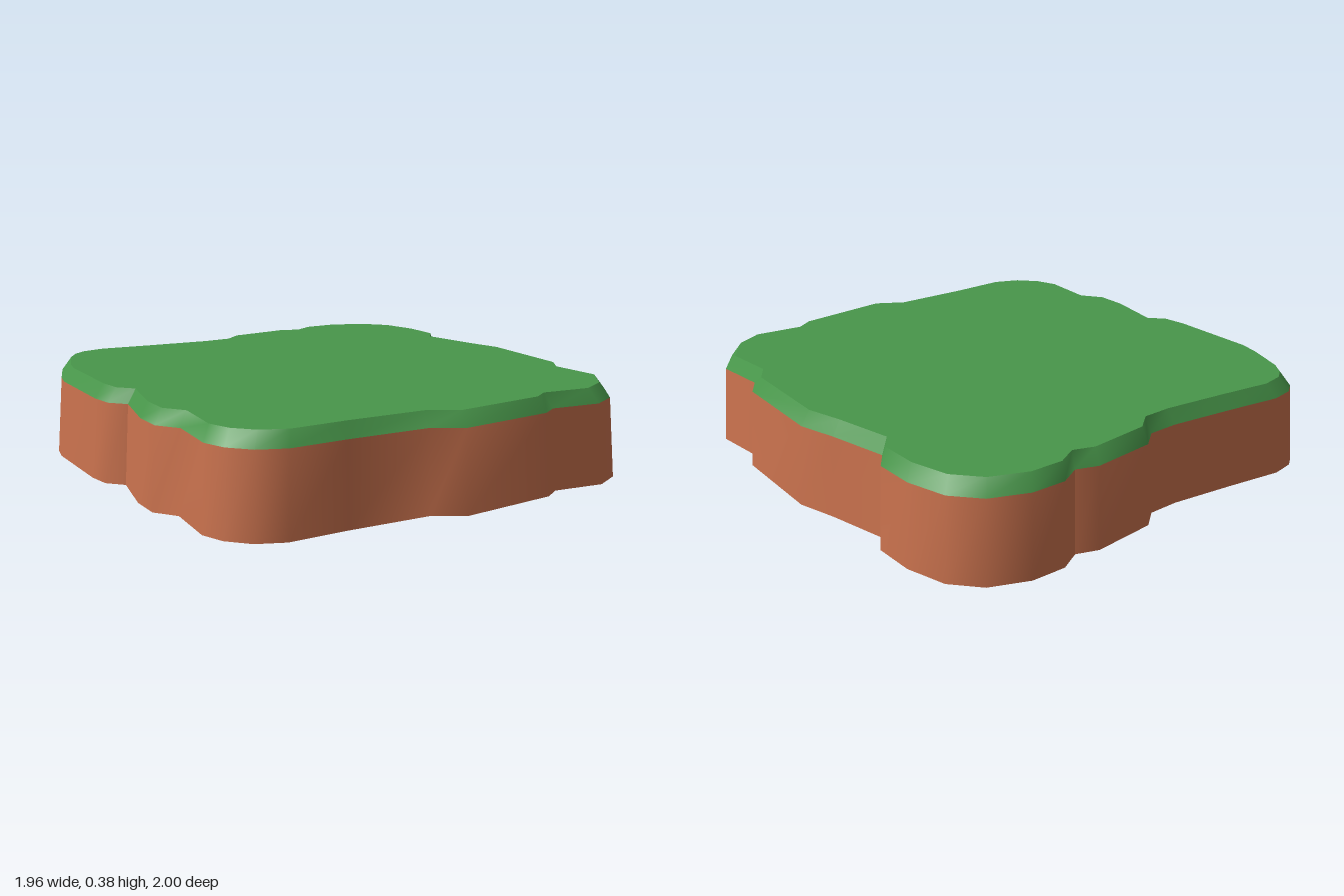
import * as THREE from 'three';
import { toCreasedNormals } from 'three/addons/utils/BufferGeometryUtils.js';

// Irregular ground outline as [x, z], clockwise seen from above
const OUTLINE = [
  // back edge
  [-0.69, -0.94], [-0.45, -0.91], [-0.17, -0.88], [-0.04, -0.885], [0.04, -0.95],
  [0.31, -0.98], [0.4, -0.95], [0.49, -1], [0.635, -1], [0.79, -0.94],
  // left side (+x)
  [0.885, -0.835], [0.93, -0.67], [0.93, -0.5], [0.875, -0.425], [0.93, -0.17],
  [0.975, -0.01], [0.955, 0.43], [0.9, 0.515], [0.92, 0.74], [0.82, 0.88],
  // front edge
  [0.705, 0.94], [0.49, 0.915], [0.42, 0.96], [0.01, 1], [-0.11, 0.93],
  [-0.45, 0.92], [-0.69, 0.925], [-0.8, 0.88], [-0.875, 0.8],
  // right side (-x)
  [-0.91, 0.705], [-0.89, 0.47], [-0.955, 0.38], [-0.955, 0.245], [-0.905, 0],
  [-0.965, -0.065], [-0.98, -0.165], [-0.975, -0.55], [-0.955, -0.64],
  [-0.89, -0.815], [-0.845, -0.88], [-0.79, -0.92],
];

// Heights and outline scales of the three rings
const BASE = { y: 0, s: 1 };
const SHOULDER = { y: 0.322, s: 0.977 };
const TOP = { y: 0.38, s: 0.94 };

// Open band joining two scaled copies of the outline
function band(lower, upper) {
  const positions = [];
  const index = [];
  const n = OUTLINE.length;
  OUTLINE.forEach(([x, z], i) => {
    for (const r of [lower, upper]) positions.push(x * r.s, r.y, z * r.s);
    const a = 2 * i;
    const b = 2 * ((i + 1) % n);
    index.push(a, a + 1, b, b, a + 1, b + 1);
  });
  const geometry = new THREE.BufferGeometry();
  geometry.setAttribute('position', new THREE.Float32BufferAttribute(positions, 3));
  geometry.setIndex(index);
  return toCreasedNormals(geometry, 0.8);
}

// Flat cap on a ring
function cap(ring) {
  const shape = new THREE.Shape(OUTLINE.map(([x, z]) => new THREE.Vector2(x * ring.s, -z * ring.s)));
  return new THREE.ShapeGeometry(shape).rotateX(-Math.PI / 2).translate(0, ring.y, 0);
}

export function createModel() {
  const grass = new THREE.MeshStandardMaterial({ color: 0x48964a, side: THREE.DoubleSide });
  grass.name = 'grass green';
  const earth = new THREE.MeshStandardMaterial({ color: 0xc8714d, side: THREE.DoubleSide });
  earth.name = 'earth brown';

  const group = new THREE.Group();
  group.name = 'groundPatch';
  const add = (name, geometry, material) => {
    const mesh = new THREE.Mesh(geometry, material);
    mesh.name = name;
    group.add(mesh);
  };

  // Open-bottomed earth wall, bevelled grass rim and flat grass top
  add('earthWall', band(BASE, SHOULDER), earth);
  add('grassRim', band(SHOULDER, TOP), grass);
  add('grassTop', cap(TOP), grass);
  return group;
}
